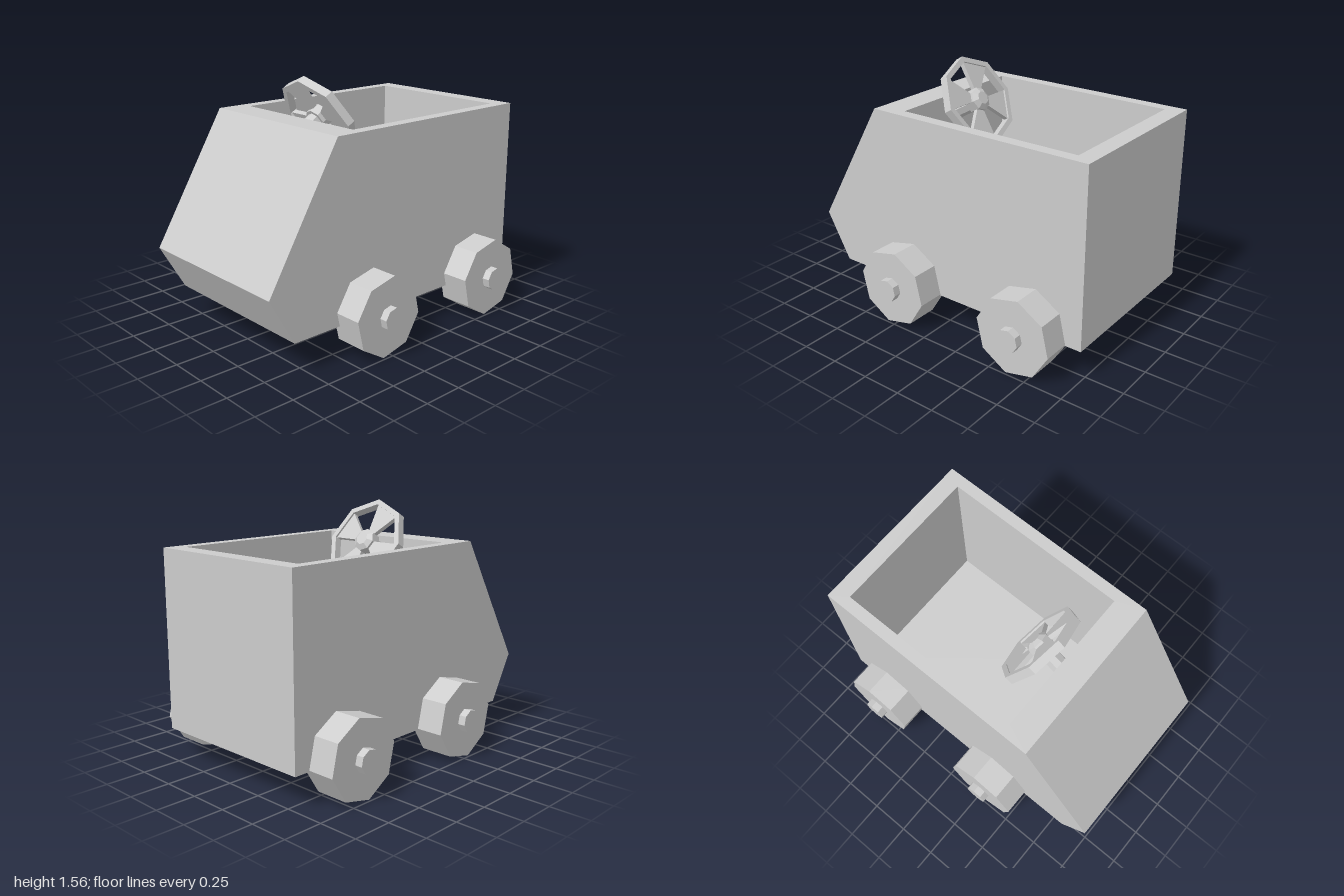
import * as THREE from 'three';

const material = new THREE.MeshStandardMaterial({ color: 0xcccccc, flatShading: true });

function add(parent, name, geometry) {
  const mesh = new THREE.Mesh(geometry, material);
  mesh.name = name;
  parent.add(mesh);
  return mesh;
}

// Eight-sided cylinder along z, from z0 to z1
function octCylinder(r0, r1, z0, z1) {
  return new THREE.CylinderGeometry(r1, r0, z1 - z0, 8)
    .rotateX(Math.PI / 2).translate(0, 0, (z0 + z1) / 2);
}

function octagon(r) {
  return Array.from({ length: 8 }, (_, i) =>
    new THREE.Vector2(r * Math.cos(i * Math.PI / 4), r * Math.sin(i * Math.PI / 4)));
}

// Wedge-nosed tub with an open rectangular pit in its top
function bodyGeometry() {
  const positions = [];
  const polygon = (...p) => {
    for (let i = 1; i < p.length - 1; i++) positions.push(...p[0], ...p[i], ...p[i + 1]);
  };
  const w = 0.56, top = 1.32, floor = 0.3;
  const profile = [[-0.51, top], [-1, 0.5], [-0.83, 0.2], [1, 0.2], [1, top]];
  const at = (z) => profile.map(([x, y]) => [x, y, z]);
  const left = at(w), right = at(-w);
  polygon(...left);
  polygon(...[...right].reverse());
  for (let i = 0; i < 4; i++) polygon(left[i], right[i], right[i + 1], left[i + 1]);

  // Rim, pit walls and pit floor
  const rect = (x0, x1, z, y) => [[x0, y, z], [x1, y, z], [x1, y, -z], [x0, y, -z]];
  const outer = rect(-0.51, 1, w, top);
  const inner = rect(-0.33, 0.89, 0.485, top);
  const base = rect(-0.33, 0.89, 0.485, floor);
  for (let i = 0; i < 4; i++) {
    const j = (i + 1) % 4;
    polygon(outer[i], outer[j], inner[j], inner[i]);
    polygon(inner[i], inner[j], base[j], base[i]);
  }
  polygon(...base);

  const geometry = new THREE.BufferGeometry();
  geometry.setAttribute('position', new THREE.Float32BufferAttribute(positions, 3));
  geometry.computeVertexNormals();
  return geometry;
}

function createSteeringWheel() {
  const group = new THREE.Group();
  group.name = 'steeringWheel';

  // Octagonal rim
  const ring = new THREE.Shape(octagon(0.287));
  ring.holes.push(new THREE.Path(octagon(0.252).reverse()));
  add(group, 'steeringRim', new THREE.ExtrudeGeometry(ring, { depth: 0.055, bevelEnabled: false })
    .translate(0, 0, -0.028));

  // Four wedge spokes, every other sector
  const corners = octagon(0.255);
  for (let k = 0; k < 4; k++) {
    const wedge = new THREE.Shape([new THREE.Vector2(0, 0), corners[2 * k + 1], corners[(2 * k + 2) % 8]]);
    add(group, 'steeringSpoke', new THREE.ExtrudeGeometry(wedge, { depth: 0.03, bevelEnabled: false })
      .translate(0, 0, -0.015));
  }

  // Hub, domed cap and column running into the front wall
  add(group, 'steeringHub', octCylinder(0.075, 0.075, -0.04, 0.03));
  add(group, 'steeringCap', octCylinder(0.075, 0.042, 0.03, 0.052));
  add(group, 'steeringColumn', octCylinder(0.055, 0.055, -0.28, -0.03));

  group.position.set(-0.16, 1.3, 0);
  group.rotation.set(0, Math.PI / 2, Math.PI / 6, 'ZYX');
  return group;
}

export function createModel() {
  const model = new THREE.Group();
  model.name = 'cart';
  add(model, 'body', bodyGeometry());
  model.add(createSteeringWheel());

  // Wheels with short axle stubs
  const turn = THREE.MathUtils.degToRad(-9.3);
  for (const x of [-0.27, 0.65]) {
    for (const side of [1, -1]) {
      const wheel = new THREE.Group();
      wheel.name = (x < 0 ? 'front' : 'rear') + 'Wheel';
      const span = (a, b) => (side > 0 ? [a, b] : [-b, -a]);
      add(wheel, 'tire', octCylinder(0.25, 0.25, ...span(0.525, 0.735)));
      add(wheel, 'axleStub', octCylinder(0.073, 0.073, ...span(0.7, 0.783)));
      wheel.position.set(x, 0.247, 0);
      wheel.rotation.z = turn;
      model.add(wheel);
    }
  }
  return model;
}
